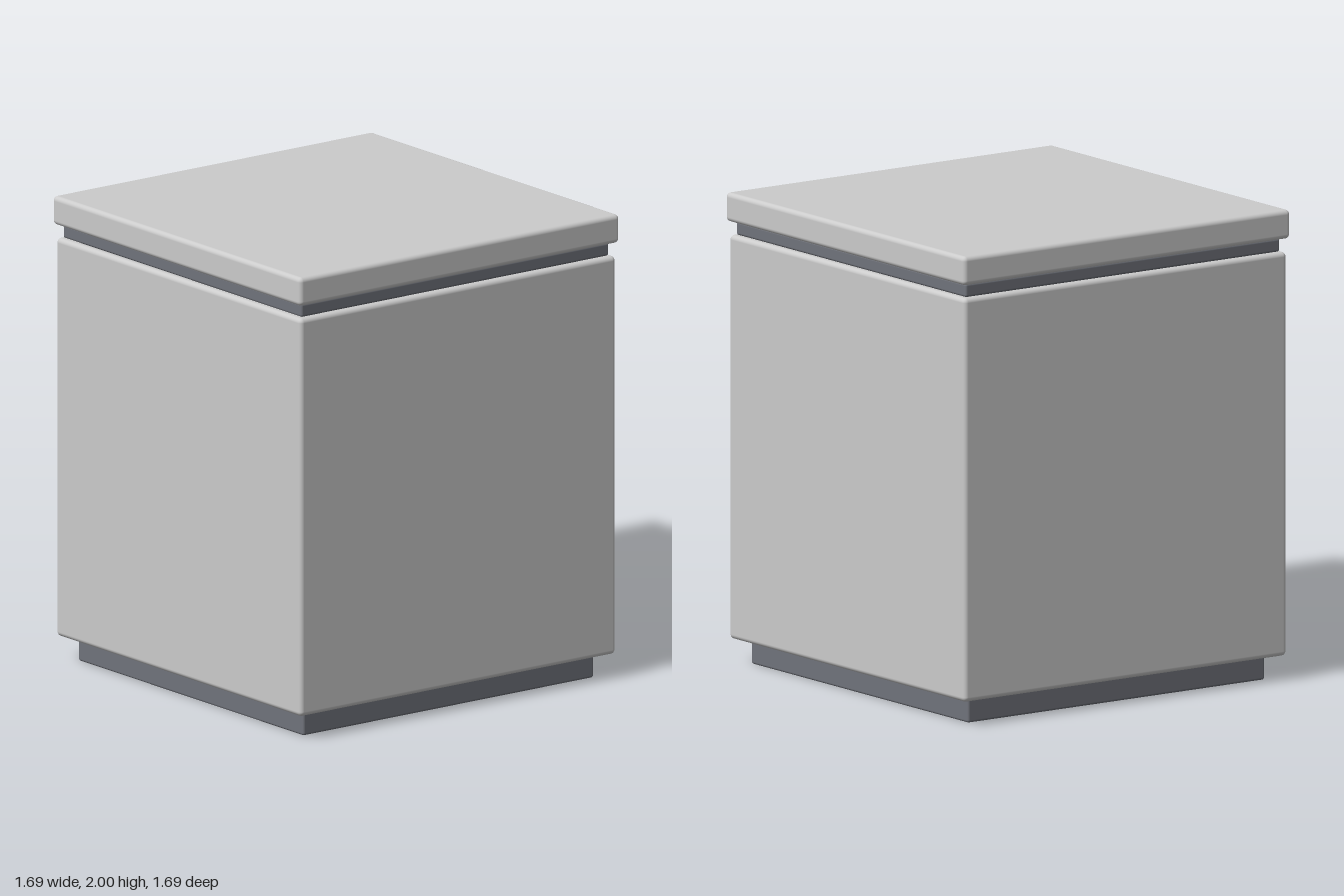
import * as THREE from 'three';
import { RoundedBoxGeometry } from 'three/addons/geometries/RoundedBoxGeometry.js';

export function createModel() {
  const group = new THREE.Group();
  const shell = new THREE.MeshStandardMaterial({ color: 0xcccccc });
  const dark = new THREE.MeshStandardMaterial({ color: 0x70737b });

  // Square slab with softened edges, spanning bottom to top
  const slab = (name, width, bottom, top, radius, material) => {
    const geometry = new RoundedBoxGeometry(width, top - bottom, width, 4, radius);
    const mesh = new THREE.Mesh(geometry, material);
    mesh.name = name;
    mesh.position.y = (bottom + top) / 2;
    group.add(mesh);
  };

  slab('plinth', 1.53, 0, 0.105, 0.01, dark);
  slab('body', 1.664, 0.105, 1.82, 0.02, shell);
  slab('shadowGap', 1.62, 1.82, 1.877, 0.01, dark); // recessed band under the lid
  slab('lid', 1.686, 1.877, 2, 0.02, shell);

  return group;
}
